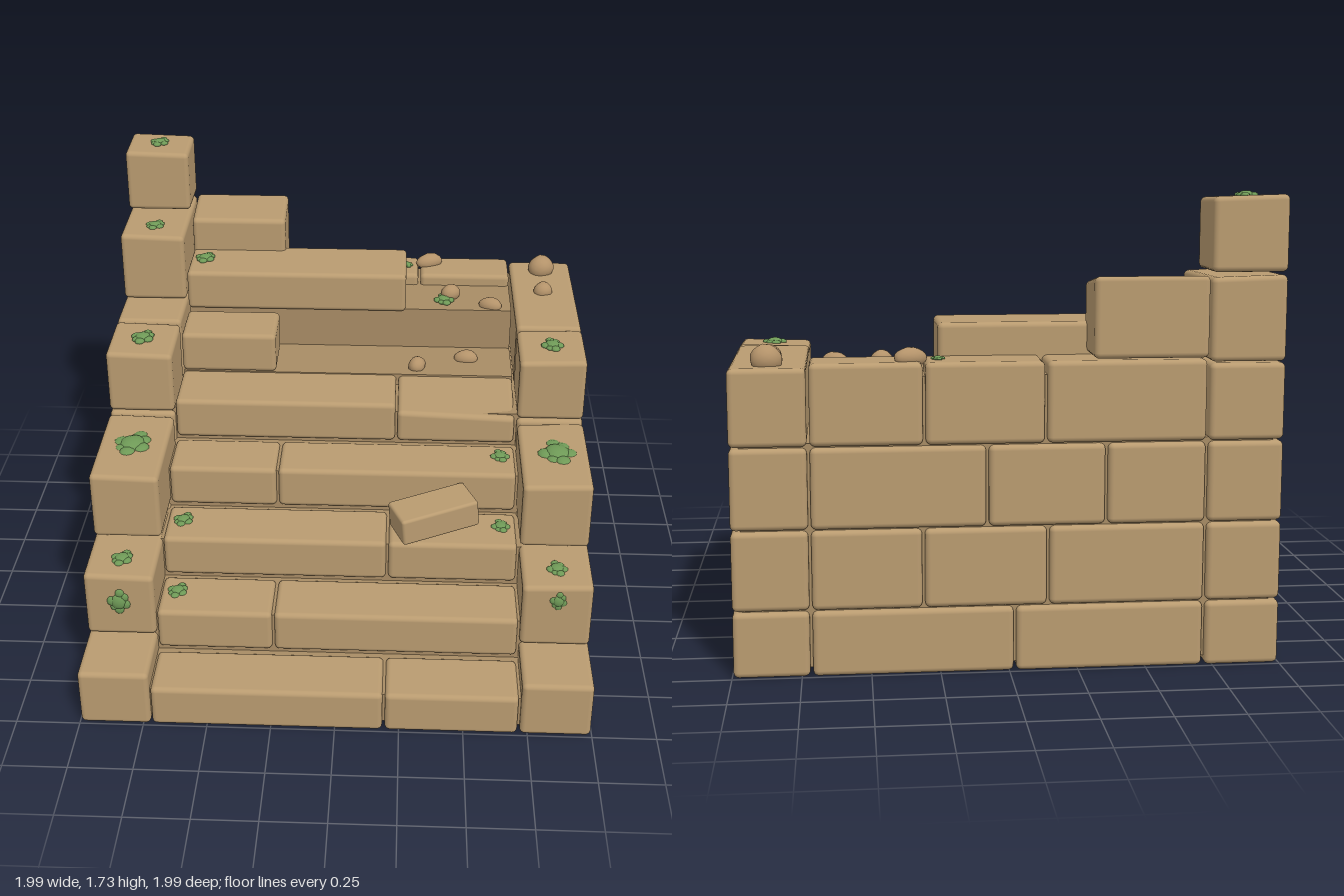
import * as THREE from 'three';
import { RoundedBoxGeometry } from 'three/addons/geometries/RoundedBoxGeometry.js';
import { mergeGeometries } from 'three/addons/utils/BufferGeometryUtils.js';

export function createModel() {
  const root = new THREE.Group();
  root.name = 'ruinedStaircase';
  const mat = (name, color) => {
    const m = new THREE.MeshStandardMaterial({ color });
    m.name = name;
    return m;
  };
  const stone = mat('sandstone', 0xb99b70);
  const mortar = mat('shadedSandstone', 0xa88c65);
  const rubble = mat('rubbleStone', 0xb4936a);
  const moss = mat('mossGreen', 0x6f9a57);

  const group = (name) => {
    const g = new THREE.Group();
    g.name = name;
    root.add(g);
    return g;
  };
  const add = (parent, name, geo, material, x, y, z) => {
    const m = new THREE.Mesh(geo, material);
    m.name = name;
    m.position.set(x, y, z);
    parent.add(m);
    return m;
  };

  // One rounded stone between two corners; drop(u, v) lowers its top, u and v run -0.5..0.5 over x and z
  const block = (parent, name, x0, x1, y0, y1, z0, z1, drop) => {
    const g = 0.005;
    const w = x1 - x0 - 2 * g, h = y1 - y0 - g, d = z1 - z0 - 2 * g;
    const geo = new RoundedBoxGeometry(w, h, d, 3, 0.02);
    if (drop) {
      const p = geo.attributes.position;
      for (let i = 0; i < p.count; i++) {
        if (p.getY(i) > 0) p.setY(i, p.getY(i) - drop(p.getX(i) / w, p.getZ(i) / d));
      }
    }
    return add(parent, name, geo, stone, (x0 + x1) / 2, y0 + h / 2, (z0 + z1) / 2);
  };

  // Side walls: [bottom, top, joints from front to back]
  const courses = [
    [0, 0.245, [1, 0.325, -0.36, -1]],
    [0.245, 0.54, [0.75, 0.26, -0.3, -1]],
    [0.54, 0.84, [0.5, 0, -0.57, -1]],
    [0.84, 1.125, [0, -0.3, -1]],
  ];
  for (const side of [-1, 1]) {
    const wall = group(side > 0 ? 'leftWall' : 'rightWall');
    const x0 = side > 0 ? 0.715 : -1, x1 = side > 0 ? 1 : -0.715;
    const list = side > 0 ? courses : [...courses, [1.125, 1.44, [-0.5, -1]], [1.445, 1.725, [-0.75, -1]]];
    for (const [y0, y1, js] of list) {
      for (let i = 0; i + 1 < js.length; i++) {
        block(wall, 'wallStone', x0, x1, y0, y1, js[i + 1], js[i],
          (u, v) => (i === 0 && y0 > 0.2 ? 0.008 * (0.5 - u * side) + 0.008 * (v + 0.5) : 0));
      }
    }
  }

  // Back wall between the side walls
  const back = group('backWall');
  const backRows = [
    [0, 0.245, [-0.715, -0.02, 0.715]],
    [0.245, 0.54, [-0.715, -0.14, 0.31, 0.715]],
    [0.54, 0.84, [-0.715, -0.35, 0.08, 0.715]],
    [0.84, 1.14, [-0.715, -0.13, 0.305, 0.715]],
  ];
  for (const [y0, y1, js] of backRows) {
    for (let i = 0; i + 1 < js.length; i++) block(back, 'backStone', js[i], js[i + 1], y0, y1, -1, -0.785);
  }
  block(back, 'topBackStone', -0.72, -0.295, 1.14, 1.44, -1, -0.755, (u, v) => 0.035 * (v + 0.5));

  // Steps: [bottom, top, back, front, joints along x]
  const stairs = group('steps');
  const steps = [
    [0, 0.18, 0.745, 1, [-0.72, 0.19, 0.715]],
    [0.18, 0.36, 0.49, 0.745, [-0.72, -0.255, 0.715]],
    [0.36, 0.54, 0.24, 0.495, [-0.72, 0.19, 0.715]],
    [0.54, 0.72, -0.005, 0.245, [-0.72, -0.27, 0.715]],
    [0.72, 0.9, -0.3, 0, [-0.72, 0.215, 0.715]],
    [0.9, 1.08, -0.515, -0.26, [-0.72, -0.305]],
    [1.08, 1.26, -0.815, -0.505, [-0.72, 0.25]],
  ];
  steps.forEach(([y0, y1, z0, z1, js], s) => {
    for (let i = 0; i + 1 < js.length; i++) {
      const worn = s === 4 && i === 1;
      block(stairs, 'stepStone', js[i], js[i + 1], y0, y1, z0, z1,
        worn ? (u, v) => (0.035 + 0.02 * (u + 0.5)) * (v + 0.5) : null);
    }
  });

  // Solid fill behind the stones, exposed where the upper steps have broken away
  const core = group('fill');
  const fill = (x0, x1, y0, y1, z0, z1) =>
    add(core, 'fillBlock', new THREE.BoxGeometry(x1 - x0, y1 - y0, z1 - z0), mortar,
      (x0 + x1) / 2, (y0 + y1) / 2, (z0 + z1) / 2);
  [[0.16, 0.97], [0.34, 0.72], [0.52, 0.47], [0.7, 0.22], [0.85, -0.03]].forEach(([top, front], i, a) =>
    fill(-0.96, 0.96, 0.03, top, i < 4 ? a[i + 1][1] : -0.97, front));
  fill(-0.71, 0.71, 0.85, 0.9, -0.97, -0.27);
  fill(-0.71, 0.71, 0.9, 1.085, -0.97, -0.535);

  // Fallen stone resting on the steps
  const fallen = add(root, 'fallenStone', new RoundedBoxGeometry(0.33, 0.115, 0.165, 3, 0.012), stone, 0.375, 0.612, 0.378);
  fallen.rotation.set(0, 0.38, 0.09, 'YXZ');

  // Loose pebbles: x, y, z, half length, half width, turn
  const pebbles = group('pebbles');
  const pebbleGeo = new THREE.IcosahedronGeometry(1, 2);
  const pp = pebbleGeo.attributes.position, pn = pebbleGeo.attributes.normal;
  for (let i = 0; i < pp.count; i++) {
    const [x, y, z] = [pp.getX(i), pp.getY(i), pp.getZ(i)];
    const k = 1 + 0.08 * Math.sin(4 * x + 1) * Math.cos(3 * z + y);
    pp.setXYZ(i, x * k, y * k, z * k);
    pn.setXYZ(i, x, y, z);
  }
  for (const [x, y, z, a, b, t] of [
    [0.35, 1.145, -0.92, 0.065, 0.037, 0.4], [0.445, 1.105, -0.67, 0.045, 0.038, 0.5],
    [0.62, 1.09, -0.58, 0.055, 0.035, -0.4], [0.515, 0.905, -0.425, 0.055, 0.036, -0.1],
    [0.3, 0.91, -0.34, 0.045, 0.036, 1.2], [0.86, 1.14, -0.885, 0.06, 0.055, 0.3],
    [0.855, 1.125, -0.665, 0.043, 0.04, 0.2],
  ]) {
    const m = add(pebbles, 'pebble', pebbleGeo, rubble, x, y, z);
    m.scale.set(a, b, b);
    m.rotation.y = t;
  }

  // Moss clump: a lobed mound of flattened balls
  const lobes = [[0, 0, 0.62], [0, 0.62, 0.38], [0.1, -0.68, 0.36], [0.5, 0.2, 0.38],
    [-0.52, -0.05, 0.4], [0.4, -0.35, 0.36], [-0.35, 0.42, 0.32]];
  const mossGeo = mergeGeometries(lobes.map(([x, z, r]) =>
    new THREE.SphereGeometry(r, 10, 7).scale(1, 0.6, 1).translate(x, 0, z)));
  const patches = group('mossPatches');
  for (const [x, y, z, s, upright] of [
    [-0.86, 1.715, -0.885, 0.052], [-0.86, 1.425, -0.63, 0.052], [-0.86, 1.115, -0.155, 0.062],
    [-0.86, 0.82, 0.235, 0.1], [-0.86, 0.525, 0.62, 0.055], [-0.86, 0.405, 0.745, 0.058, true],
    [0.86, 1.115, -0.155, 0.058], [0.87, 0.82, 0.235, 0.1], [0.86, 0.525, 0.62, 0.052],
    [0.86, 0.46, 0.745, 0.042, true], [-0.65, 1.258, -0.665, 0.055], [0.415, 1.09, -0.63, 0.056],
    [0.25, 1.138, -0.895, 0.032], [0.65, 0.715, 0.09, 0.05], [0.65, 0.535, 0.345, 0.048],
    [-0.65, 0.535, 0.35, 0.052], [-0.65, 0.355, 0.595, 0.052],
  ]) {
    const m = add(patches, 'moss', mossGeo, moss, x, y, z);
    m.scale.set(s * 0.9, s * 0.8, s);
    if (upright) m.rotation.x = Math.PI / 2;
    else m.rotation.y = x > 0 ? 0.3 : -0.2;
  }
  return root;
}
